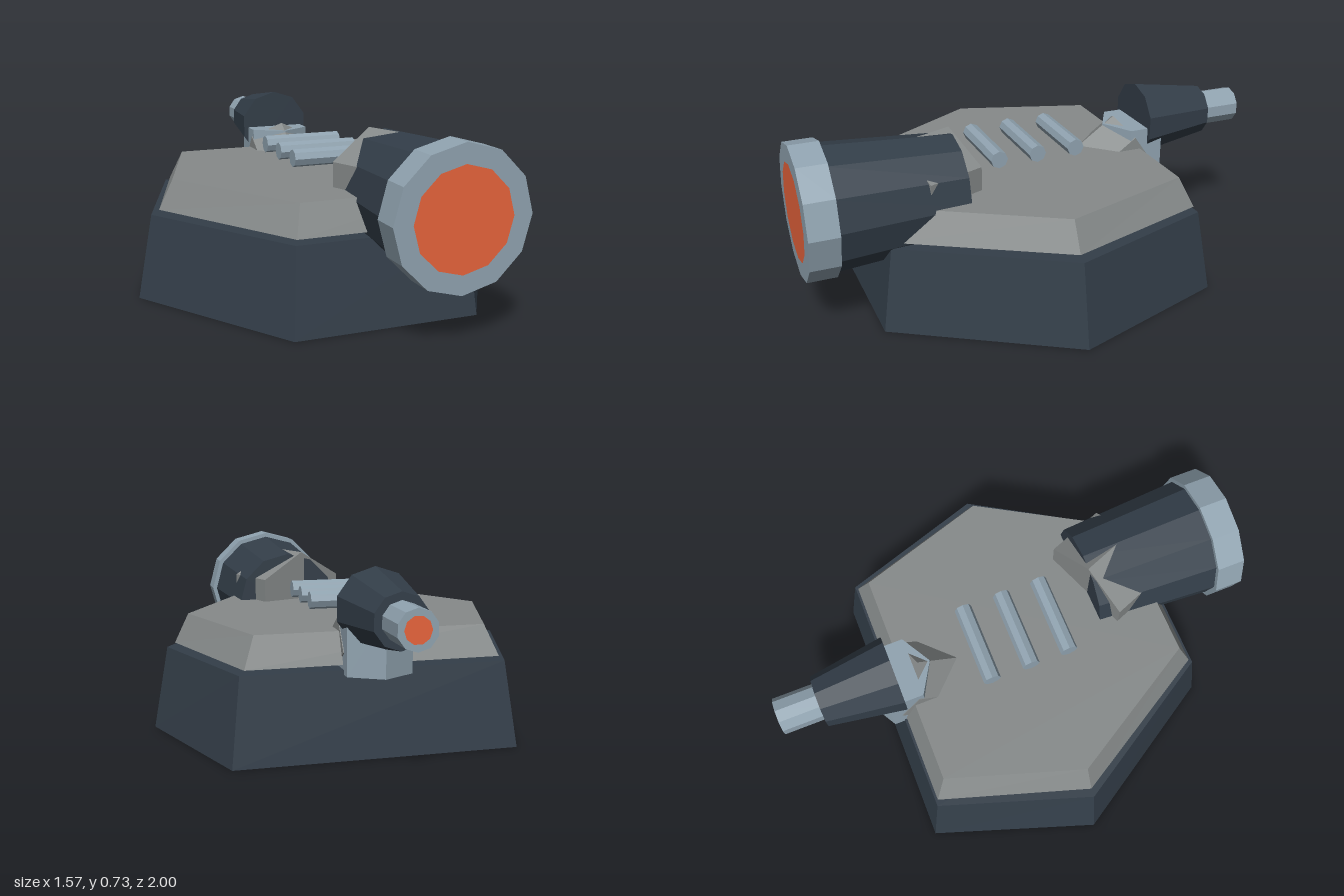
import * as THREE from 'three';

const paint = (color) => new THREE.MeshStandardMaterial({ color, flatShading: true });

// Tapered slab between two mirrored hexagons, each given as [frontX, frontZ, midX, midZ, backX, backZ]
function hexSlab(y0, lower, y1, upper) {
  const ring = (y, [fx, fz, mx, mz, bx, bz]) =>
    [[-fx, y, fz], [fx, y, fz], [mx, y, mz], [bx, y, bz], [-bx, y, bz], [-mx, y, mz]];
  const b = ring(y0, lower), t = ring(y1, upper), pos = [];
  const tri = (...corners) => corners.forEach((c) => pos.push(...c));
  for (let i = 0; i < 6; i++) {
    const j = (i + 1) % 6;
    tri(b[i], b[j], t[j]);
    tri(b[i], t[j], t[i]);
    if (i > 0 && i < 5) {
      tri(t[0], t[i], t[j]);
      tri(b[0], b[j], b[i]);
    }
  }
  const geo = new THREE.BufferGeometry();
  geo.setAttribute('position', new THREE.Float32BufferAttribute(pos, 3));
  geo.computeVertexNormals();
  return geo;
}

// Faceted cylinder along z, from z0 (radius r0) to z1 (radius r1)
function barrelGeo(r0, r1, z0, z1, sides) {
  return new THREE.CylinderGeometry(r1, r0, z1 - z0, sides)
    .rotateX(Math.PI / 2)
    .translate(0, 0, (z0 + z1) / 2);
}

export function createModel() {
  const model = new THREE.Group();
  const dark = paint(0x333e49), grey = paint(0x868a8a), steel = paint(0x90a3b0), glow = paint(0xe8643c);

  const add = (name, geo, mat, x = 0, y = 0, z = 0, parent = model) => {
    const mesh = new THREE.Mesh(geo, mat);
    mesh.name = name;
    mesh.position.set(x, y, z);
    parent.add(mesh);
    return mesh;
  };

  // Hull and the raised deck plate above it
  add('hull', hexSlab(0, [0.37, 0.735, 0.783, 0.065, 0.56, -0.59],
    0.338, [0.345, 0.685, 0.722, 0.065, 0.52, -0.54]), dark);
  add('deckPlate', hexSlab(0.355, [0.335, 0.67, 0.69, 0.065, 0.5, -0.53],
    0.475, [0.305, 0.62, 0.632, 0.065, 0.455, -0.48]), grey);

  // Three cross bars over the deck
  for (const z of [0.178, 0.012, -0.157]) {
    add('deckBar', new THREE.CylinderGeometry(0.036, 0.036, 0.335, 8).rotateZ(Math.PI / 2), steel, 0, 0.545, z);
  }

  // Large front cannon, offset to one side
  const front = new THREE.Group();
  front.name = 'frontCannon';
  front.position.set(0.147, 0.46, 0);
  model.add(front);
  add('frontBarrel', barrelGeo(0.217, 0.252, 0.365, 0.89, 12), dark, 0, 0, 0, front);
  add('frontMuzzleRing', barrelGeo(0.27, 0.27, 0.88, 0.998, 12), steel, 0, 0, 0, front);
  add('frontMuzzleGlow', new THREE.CircleGeometry(0.195, 12), glow, 0, 0, 1, front);
  const frontMount = add('frontMount', barrelGeo(0.225, 0.225, 0, 0.25, 6), grey, -0.064, 0, 0.36, front);
  frontMount.rotation.y = 0.37;

  // Small rear cannon on a hexagonal post, with a slanted strut into the deck
  const rear = new THREE.Group();
  rear.name = 'rearCannon';
  rear.position.y = 0.565;
  model.add(rear);
  add('rearBarrel', barrelGeo(0.105, 0.155, -0.83, -0.515, 10), dark, 0, 0, 0, rear);
  add('rearNozzle', barrelGeo(0.075, 0.075, -0.998, -0.82, 10), steel, 0, 0, 0, rear);
  add('rearNozzleGlow', new THREE.CircleGeometry(0.05, 10).rotateY(Math.PI), glow, 0, 0, -1, rear);
  add('rearPost', new THREE.CylinderGeometry(0.147, 0.147, 0.24, 6), steel, 0, 0.44, -0.51);
  const strut = add('rearStrut', barrelGeo(0.15, 0.15, -0.15, 0.15, 6), grey, 0, 0.38, -0.377);
  strut.rotation.x = 0.61;

  return model;
}
